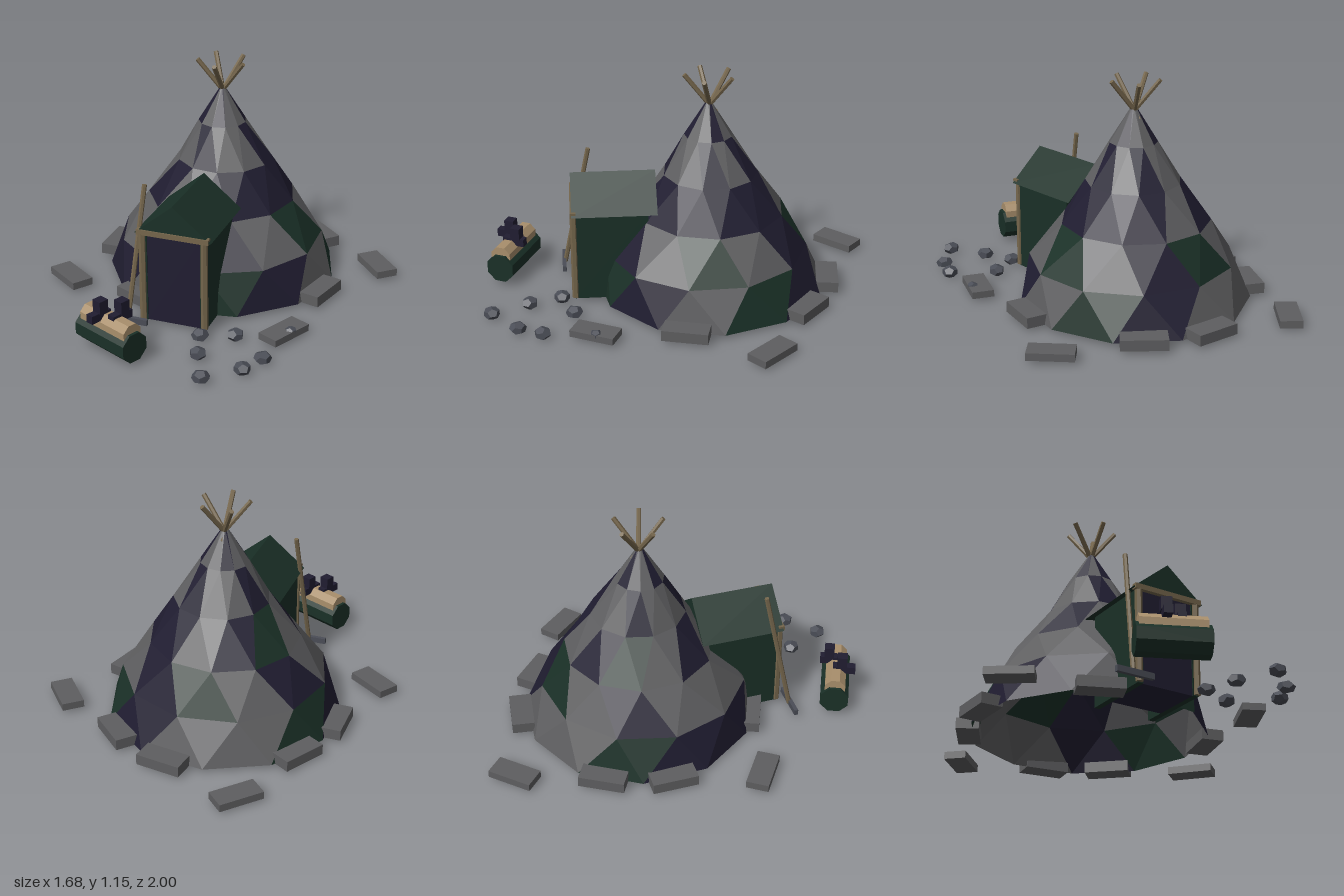
import * as THREE from 'three';
import { mergeGeometries } from 'three/addons/utils/BufferGeometryUtils.js';

const paint = (color, side = THREE.FrontSide) =>
  new THREE.MeshStandardMaterial({ color, side, flatShading: true });

const GREY = 0x5e5e60, NAVY = 0x201d31, GREEN = 0x1a3027;
const WOOD = 0x75664c, TAN = 0xa98f6c, ROCK = 0x4a4d56;

function add(parent, name, geometry, material, x = 0, y = 0, z = 0, turn = 0) {
  const mesh = new THREE.Mesh(geometry, material);
  mesh.name = name;
  mesh.position.set(x, y, z);
  mesh.rotation.y = turn;
  parent.add(mesh);
  return mesh;
}

const box = (w, h, d) => new THREE.BoxGeometry(w, h, d);

// Round stick between two points
function stick(parent, name, a, b, radius, material) {
  const from = new THREE.Vector3(...a), to = new THREE.Vector3(...b);
  const dir = to.clone().sub(from);
  const mesh = add(parent, name, new THREE.CylinderGeometry(radius, radius, dir.length(), 6), material);
  mesh.position.copy(from).add(to).multiplyScalar(0.5);
  mesh.quaternion.setFromUnitVectors(new THREE.Vector3(0, 1, 0), dir.normalize());
}

// Eleven-sided tent cover, sewn from patches in three colours
function makeCover() {
  const group = new THREE.Group();
  group.name = 'tentCover';
  const sides = 11;
  // rings from the ground up: height, radius, sideways and backward sag
  const rings = [
    [0.025, 0.585, 0, -0.012], [0.232, 0.515, 0, 0.01], [0.435, 0.375, -0.006, -0.012],
    [0.64, 0.238, 0.01, -0.01], [0.835, 0.12, 0, 0], [1.01, 0.012, 0, 0],
  ];
  // one letter per patch, from +x round by the back: g green, n navy, s grey
  const patches = ['gnssgnnsgns', 'sngsnsssnsg', 'nnsngsnsnnn', 'snssnssnssn', 'nssnssnsnss'];
  // every other ring is turned by half a patch
  const point = (row, k) => {
    const [y, r, dx, dz] = rings[row];
    const a = 0.035 + ((k + (row % 2) / 2) / sides) * Math.PI * 2;
    return [dx + r * Math.cos(a), y, dz - r * Math.sin(a)];
  };
  const corners = { g: [], n: [], s: [] };
  patches.forEach((line, row) => [...line].forEach((c, k) => {
    const a = point(row, k), b = point(row, k + 1), d = point(row + 1, k), e = point(row + 1, k + 1);
    if (row % 2) corners[c].push(...a, ...b, ...e, ...a, ...e, ...d);
    else corners[c].push(...a, ...b, ...d, ...b, ...e, ...d);
  }));
  const names = { g: ['greenPatches', GREEN], n: ['navyPatches', NAVY], s: ['greyPatches', GREY] };
  for (const c in corners) {
    const geo = new THREE.BufferGeometry();
    geo.setAttribute('position', new THREE.Float32BufferAttribute(corners[c], 3));
    geo.computeVertexNormals();
    add(group, names[c][0], geo, paint(names[c][1], THREE.DoubleSide));
  }
  group.position.set(-0.045, 0, -0.14);
  return group;
}

// Covered entrance with a gabled roof
function makePorch() {
  const group = new THREE.Group();
  group.name = 'porch';
  const green = paint(GREEN), wood = paint(WOOD);
  const gable = new THREE.Shape([[-0.193, 0.49], [0.193, 0.49], [0, 0.65]].map(p => new THREE.Vector2(...p)));
  add(group, 'roof', new THREE.ExtrudeGeometry(gable, { depth: 0.425, bevelEnabled: false }), green, 0, 0, 0.125);
  for (const s of [-1, 1]) {
    add(group, 'sideWall', box(0.03, 0.465, 0.37), green, s * 0.15, 0.2575, 0.355);
    stick(group, 'doorPost', [s * 0.157, 0.03, 0.54], [s * 0.157, 0.49, 0.54], 0.018, wood);
  }
  add(group, 'lintel', box(0.365, 0.026, 0.03), wood, 0, 0.497, 0.542);
  add(group, 'doorway', box(0.27, 0.465, 0.26), paint(NAVY), 0, 0.2575, 0.405);
  group.position.x = -0.045;
  return group;
}

// Bedroll with a blanket and a pair of boots on top
function makeBedroll() {
  const group = new THREE.Group();
  group.name = 'bedroll';
  const roll = (r, length) => new THREE.CylinderGeometry(r, r, length, 8)
    .rotateY(Math.PI / 8).rotateZ(Math.PI / 2);
  add(group, 'roll', roll(0.077, 0.335), paint(GREEN), 0, 0.1, 0);
  add(group, 'blanket', roll(0.056, 0.305), paint(TAN), 0, 0.162, 0);
  const boot = mergeGeometries([
    box(0.04, 0.04, 0.115).translate(0, 0.02, 0),
    box(0.05, 0.062, 0.05).translate(0, 0.068, -0.012),
  ]);
  add(group, 'boot', boot, paint(NAVY), -0.032, 0.187, 0.04);
  add(group, 'boot', boot, paint(NAVY), 0.04, 0.187, -0.028);
  group.position.set(-0.236, 0, 0.855);
  group.rotation.y = -0.43;
  return group;
}

export function createModel() {
  const model = new THREE.Group();
  model.name = 'camp';
  model.add(makeCover(), makePorch(), makeBedroll());
  const wood = paint(WOOD);

  // Five pole tips crossing above the peak
  for (let i = 0; i < 5; i++) {
    const a = Math.PI / 2 + (i * Math.PI * 2) / 5;
    const c = Math.cos(a), s = Math.sin(a);
    stick(model, 'tentPole', [-0.045 - c * 0.032, 0.95, -0.145 - s * 0.032],
      [-0.045 + c * 0.125, 1.15, -0.145 + s * 0.125], 0.012, wood);
  }

  // Flat stone slabs: x, z, direction of the long side (x, z), height
  const slabs = [
    [-0.375, -0.88, 29, -31, 0.038], [0.042, -0.75, 43, 6, 0.055], [0.345, -0.6, 33, 30, 0.055],
    [0.725, -0.375, 29, 33, 0.038], [0.53, 0.015, -11, 42, 0.055], [0.48, 0.45, -18, 37, 0.035],
    [-0.295, 0.36, 40, 17, 0.055], [-0.715, 0.28, 35, 24, 0.038], [-0.635, -0.155, 0, 1, 0.055],
    [-0.537, -0.475, -22, 38, 0.055],
  ];
  const slabPaint = paint(GREY);
  for (const [x, z, dx, dz, h] of slabs)
    add(model, 'stoneSlab', box(0.228, h, 0.112), slabPaint, x, 0.022 + h / 2, z, Math.atan2(-dz, dx));

  // Loose rocks: x, y, z, size
  const rocks = [
    [0.115, 0.036, 0.61, 1], [0.272, 0.036, 0.55, 1], [0.165, 0.036, 0.77, 1], [0.46, 0.036, 0.705, 1],
    [0.402, 0.036, 0.825, 1], [0.25, 0.036, 0.957, 1], [0.515, 0.05, 0.45, 0.7],
  ];
  const rockPaint = paint(ROCK);
  rocks.forEach(([x, y, z, s], i) => {
    const rock = add(model, 'rock', new THREE.DodecahedronGeometry(0.044, 0), rockPaint, x, y, z, i * 1.3);
    rock.scale.set(s, s * 0.72, s * 0.95);
  });

  // Rake leaning on the porch
  stick(model, 'rakeHandle', [-0.265, 0.035, 0.59], [-0.22, 0.7, 0.455], 0.012, wood);
  add(model, 'rakeHead', box(0.195, 0.03, 0.02), rockPaint, -0.26, 0.04, 0.595);

  return model;
}
